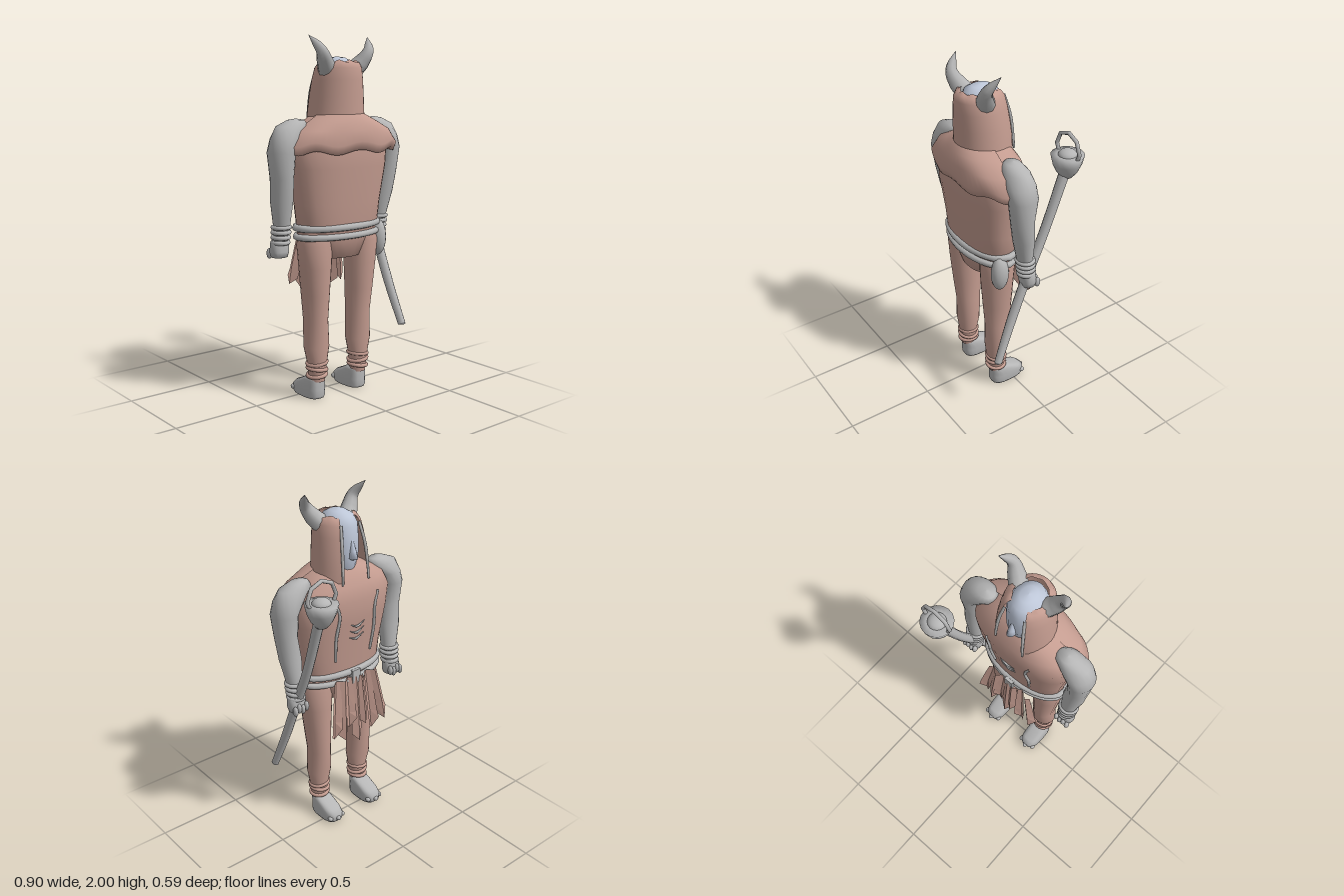
import * as THREE from 'three';

const mat = (name, color, side = THREE.FrontSide) => {
  const m = new THREE.MeshStandardMaterial({ color, side });
  m.name = name;
  return m;
};

// Horizontal cross-sections [x, y, z, rx, rz], listed top to bottom; e < 1 gives boxier sections
function loft(stations, { n = 20, e = 1, start = 0, arc = Math.PI * 2, warp } = {}) {
  const closed = arc > 6.28, cols = closed ? n : n + 1, pos = [], idx = [];
  const pw = (v) => Math.sign(v) * Math.abs(v) ** e;
  stations.forEach(([x, y, z, rx, rz], i) => {
    for (let j = 0; j < cols; j++) {
      const a = start + (arc * j) / n;
      pos.push(x + rx * pw(Math.cos(a)), y + (warp ? warp(i, a) : 0), z + rz * pw(Math.sin(a)));
    }
  });
  for (let i = 0; i < stations.length - 1; i++) for (let j = 0; j < n; j++) {
    const a = i * cols + j, b = i * cols + ((j + 1) % cols), c = a + cols, d = b + cols;
    idx.push(a, b, c, b, d, c);
  }
  const g = new THREE.BufferGeometry();
  g.setAttribute('position', new THREE.Float32BufferAttribute(pos, 3));
  g.setIndex(idx);
  g.computeVertexNormals();
  return g;
}

// Tube through points whose radius follows a list of radii
function taper(points, radii, seg = 16, sides = 10) {
  const curve = new THREE.CatmullRomCurve3(points.map((p) => new THREE.Vector3(...p)));
  const g = new THREE.TubeGeometry(curve, seg, 1, sides), p = g.attributes.position, v = new THREE.Vector3();
  for (let i = 0; i <= seg; i++) {
    const c = curve.getPointAt(i / seg), f = (i / seg) * (radii.length - 1), k = Math.min(Math.floor(f), radii.length - 2);
    const r = THREE.MathUtils.lerp(radii[k], radii[k + 1], f - k);
    for (let j = 0; j <= sides; j++) {
      const q = i * (sides + 1) + j;
      v.fromBufferAttribute(p, q).sub(c).multiplyScalar(r).add(c);
      p.setXYZ(q, v.x, v.y, v.z);
    }
  }
  return g;
}

// Horizontal elliptical band
function band(x, y, z, rx, rz, r) {
  const pts = [];
  for (let i = 0; i < 16; i++) {
    const a = (i / 16) * Math.PI * 2;
    pts.push(new THREE.Vector3(x + rx * Math.cos(a), y, z + rz * Math.sin(a)));
  }
  return new THREE.TubeGeometry(new THREE.CatmullRomCurve3(pts, true), 32, r, 8, true);
}

// Torso sections: y, half width, front z, back z
const TORSO = [[1.6, 0.09, 0.0, 0.17], [1.57, 0.17, -0.03, 0.22], [1.5, 0.28, -0.065, 0.25], [1.42, 0.32, -0.085, 0.265],
  [1.3, 0.31, -0.075, 0.262], [1.1, 0.275, -0.045, 0.238], [0.97, 0.26, -0.035, 0.228], [0.9, 0.205, -0.02, 0.21],
  [0.8, 0.13, 0.01, 0.19], [0.795, 0, 0.1, 0.1]];
const TORSO_E = 0.85;

// Point lying on the chest surface
function onChest(x, y) {
  const i = Math.max(0, TORSO.findIndex((s, k) => k < TORSO.length - 1 && TORSO[k + 1][0] <= y));
  const a = TORSO[i], b = TORSO[i + 1], t = (a[0] - y) / (a[0] - b[0]);
  const [, w, f, k] = a.map((v, q) => THREE.MathUtils.lerp(v, b[q], t));
  const depth = ((k - f) / 2) * (1 - (Math.abs(x) / w) ** (2 / TORSO_E)) ** (TORSO_E / 2);
  return [x, y, (f + k) / 2 - depth - 0.004];
}

// Ragged hanging strip with a centre fold
function rag(x0, x1, tip, fold) {
  const pos = [], idx = [];
  [[0, 0.022], [0.35, 0.03], [0.7, 0.035], [0.9, 0.036]].forEach(([t, w], i) => {
    const x = THREE.MathUtils.lerp(x0, x1, t), y = THREE.MathUtils.lerp(0.95, tip, t), z = -0.06 - 0.035 * t;
    pos.push(x - w, y + (i === 3 ? 0.03 : 0), z + fold * t, x, y - (i === 3 ? 0.1 * (0.95 - tip) : 0), z - fold, x + w, y, z + fold * t);
    if (i) for (const j of [0, 1]) {
      const a = i * 3 - 3 + j;
      idx.push(a, a + 3, a + 1, a + 1, a + 3, a + 4);
    }
  });
  const g = new THREE.BufferGeometry();
  g.setAttribute('position', new THREE.Float32BufferAttribute(pos, 3));
  g.setIndex(idx);
  const flat = g.toNonIndexed();
  flat.computeVertexNormals();
  return flat;
}

export function createModel() {
  const cloth = mat('brown cloth', 0xc49c90), clothThin = mat('thin brown cloth', 0xc49c90, THREE.DoubleSide);
  const grey = mat('grey', 0xb6b6b6), pale = mat('pale blue', 0xbec7d8);
  const root = new THREE.Group(), body = new THREE.Group();
  body.name = 'body';
  body.position.x = -0.007;
  root.add(body);
  const add = (name, g, m, parent = body) => {
    const o = new THREE.Mesh(g, m);
    o.name = name;
    parent.add(o);
    return o;
  };
  const ball = (name, x, y, z, sx, sy, sz, m, parent) => {
    const o = add(name, new THREE.SphereGeometry(1, 16, 12), m, parent);
    o.position.set(x, y, z);
    o.scale.set(sx, sy, sz);
    return o;
  };

  add('torso', loft(TORSO.map(([y, w, f, b]) => [0, y, (f + b) / 2, w, (b - f) / 2]), { n: 28, e: TORSO_E }), cloth);

  // Shoulder cape wrapping the back, with a scalloped hem
  add('cape', loft([[0, 1.59, 0.09, 0.14, 0.14], [0.005, 1.555, 0.095, 0.21, 0.165], [0.01, 1.5, 0.1, 0.32, 0.183],
    [0.01, 1.43, 0.1, 0.382, 0.193], [0.01, 1.385, 0.1, 0.365, 0.178], [0.01, 1.395, 0.1, 0.32, 0.15]],
  { n: 30, e: 0.95, start: 0.1, arc: Math.PI - 0.2, warp: (i, a) => (i > 2 ? 0.012 * Math.cos(a * 8) : 0) }), clothThin);

  // Hood, open at the face and the crown
  const gap = 0.56;
  add('hood', loft([[0, 1.868, 0.105, 0.085, 0.09], [0, 1.86, 0.105, 0.108, 0.117], [0, 1.83, 0.1, 0.126, 0.134], [0, 1.77, 0.093, 0.138, 0.143],
    [0, 1.68, 0.085, 0.15, 0.15], [0, 1.6, 0.08, 0.157, 0.155], [0, 1.53, 0.08, 0.165, 0.155]],
  { n: 30, start: -Math.PI / 2 + gap, arc: Math.PI * 2 - gap * 2, warp: (i, a) => (i === 0 ? 0.006 * Math.sin(a * 9) : 0) }), clothThin);

  // Head and face
  add('head', loft([[0, 1.893, 0.09, 0, 0], [0, 1.886, 0.09, 0.04, 0.05], [0, 1.865, 0.09, 0.075, 0.09], [0, 1.82, 0.085, 0.096, 0.11],
    [0, 1.74, 0.08, 0.1, 0.112], [0, 1.65, 0.08, 0.093, 0.115], [0, 1.58, 0.08, 0.075, 0.1], [0, 1.52, 0.09, 0.06, 0.08]]), pale);
  add('nose', loft([[0, 1.75, -0.02, 0.008, 0.012], [0, 1.69, -0.03, 0.018, 0.025], [0, 1.65, -0.035, 0.024, 0.032],
    [0, 1.63, -0.02, 0, 0]], { n: 10 }), pale);

  for (const s of [1, -1]) {
    const side = s > 0 ? 'left' : 'right', m = (rows) => rows.map(([x, ...r]) => [x * s, ...r]);

    add(side + 'Horn', taper(m([[0.09, 1.82, 0.12], [0.125, 1.86, 0.145], [0.163, 1.92, 0.16], [0.205, 2.0, 0.105]]),
      [0.052, 0.046, 0.034, 0.022, 0.001]), grey);
    add(side + 'HoodTrim', taper(m([[0.062, 1.835, -0.01], [0.078, 1.72, -0.04], [0.086, 1.6, -0.055], [0.09, 1.52, -0.06]]),
      [0.008, 0.009, 0.006]), grey);

    // Arm, wrist wraps and fist
    add(side + 'Arm', loft(m([[0.275, 1.565, 0.08, 0, 0], [0.275, 1.557, 0.08, 0.05, 0.04], [0.3, 1.525, 0.083, 0.1, 0.065],
      [0.345, 1.46, 0.085, 0.085, 0.083], [0.375, 1.39, 0.085, 0.073, 0.083], [0.37, 1.25, 0.083, 0.063, 0.066], [0.36, 1.13, 0.066, 0.064, 0.06],
      [0.35, 1.0, 0.05, 0.048, 0.045], [0.347, 0.91, 0.035, 0.04, 0.036]]).map((r) => r), { n: 18 }), grey);
    for (let i = 0; i < 4; i++)
      add(side + 'WristWrap', band(0.35 * s, 0.985 - i * 0.028, 0.047 - i * 0.003, 0.048 - i * 0.002, 0.044, 0.012), grey);
    add(side + 'Fist', loft(m([[0.348, 0.93, 0.035, 0.035, 0.032], [0.352, 0.9, 0.032, 0.052, 0.04], [0.352, 0.85, 0.03, 0.054, 0.043],
      [0.352, 0.82, 0.03, 0.045, 0.038], [0.352, 0.81, 0.03, 0, 0]]), { n: 14, e: 0.8 }), grey);
    for (let i = 0; i < 4; i++)
      ball(side + 'Finger', (0.315 + i * 0.025) * s, 0.85 - (i % 2) * 0.012, -0.01, 0.014, 0.03, 0.018, grey);

    // Leg, ankle wraps and boot
    add(side + 'Leg', loft(m([[0.145, 0.94, 0.1, 0.1, 0.09], [0.165, 0.88, 0.1, 0.1, 0.1], [0.162, 0.75, 0.1, 0.09, 0.094],
      [0.158, 0.6, 0.097, 0.078, 0.085], [0.153, 0.45, 0.093, 0.067, 0.075], [0.152, 0.3, 0.098, 0.075, 0.068],
      [0.15, 0.2, 0.102, 0.056, 0.053], [0.15, 0.1, 0.1, 0.046, 0.045]])), cloth);
    [0.205, 0.17, 0.135].forEach((y, i) => {
      const wrap = add(side + 'AnkleWrap', band(0, 0, 0, 0.056 - i * 0.002, 0.053, 0.011), cloth);
      wrap.position.set(0.15 * s, y, 0.1);
      wrap.rotation.z = 0.12 * s * (i % 2 ? 1 : -1);
    });
    add(side + 'Boot', loft(m([[0.15, 0.13, 0.09, 0, 0], [0.15, 0.125, 0.09, 0.044, 0.042], [0.15, 0.105, 0.075, 0.053, 0.062],
      [0.15, 0.075, 0.04, 0.058, 0.095], [0.15, 0.05, 0.027, 0.06, 0.11], [0.15, 0.012, 0.027, 0.06, 0.108],
      [0.15, 0, 0.03, 0.055, 0.1], [0.15, 0, 0.03, 0, 0]]), { e: 0.7 }), grey);
    for (const dx of [-0.045, 0, 0.045])
      ball(side + 'BootStud', 0.15 * s + dx, 0.03, dx ? -0.06 : -0.08, 0.015, 0.015, 0.018, grey);

    // Cord down the chest
    add(side + 'ChestCord', taper([[0.15, 1.44], [0.125, 1.36], [0.135, 1.22], [0.125, 1.07]].map(([x, y]) => onChest(x * s, y)),
      [0.007, 0.009, 0.007]), grey);
  }

  // Chest slashes
  for (let i = 0; i < 3; i++)
    add('chestSlash', taper([[-0.05, 1.29], [0, 1.265], [0.05, 1.285]].map(([x, y]) => onChest(x, y - i * 0.04)),
      [0.002, 0.007, 0.002], 10, 6), grey);

  // Double belt, buckle, pouch and ragged loincloth
  add('upperBelt', band(0, 0.975, 0.094, 0.272, 0.134, 0.02), grey);
  add('lowerBelt', band(0, 0.925, 0.094, 0.27, 0.132, 0.018), grey);
  add('beltLining', loft([[0, 0.98, 0.094, 0.266, 0.128], [0, 0.92, 0.094, 0.264, 0.126]], { n: 28 }), clothThin);
  add('buckle', new THREE.BoxGeometry(0.055, 0.08, 0.03), grey).position.set(0, 0.95, -0.055);
  ball('pouch', 0.258, 0.88, 0.147, 0.045, 0.105, 0.052, grey);
  [[-0.13, -0.19, 0.62, 0.018], [-0.085, -0.11, 0.57, -0.014], [-0.03, -0.04, 0.64, 0.018], [0.005, 0.005, 0.54, 0.014],
    [0.05, 0.06, 0.64, -0.014], [0.09, 0.11, 0.58, 0.018], [0.13, 0.175, 0.6, -0.014]].forEach(([a, b, tip, fold]) =>
    add('loinclothStrip', rag(a, b, tip, fold), clothThin));

  // Staff with a cup, orb and octagonal ring
  const staff = new THREE.Group();
  staff.name = 'staff';
  root.add(staff);
  add('shaft', taper([[0.365, 0.365, 0.237], [0.347, 0.6, 0.14], [0.342, 0.85, 0.038], [0.342, 1.1, -0.07], [0.35, 1.44, -0.19]],
    [0.022, 0.027, 0.027, 0.027, 0.029], 20), grey, staff);
  ball('shaftEnd', 0.365, 0.367, 0.237, 0.022, 0.006, 0.022, grey, staff);
  add('cup', new THREE.LatheGeometry([[0, 1.42], [0.03, 1.42], [0.058, 1.455], [0.078, 1.5], [0.09, 1.55], [0.05, 1.55], [0, 1.54]]
    .map((p) => new THREE.Vector2(...p)), 16), grey, staff).position.set(0.348, 0, -0.21);
  ball('orb', 0.348, 1.545, -0.21, 0.052, 0.035, 0.052, grey, staff);
  add('ring', new THREE.TorusGeometry(0.092, 0.011, 8, 8), grey, staff).position.set(0.347, 1.58, -0.212);
  return root;
}
